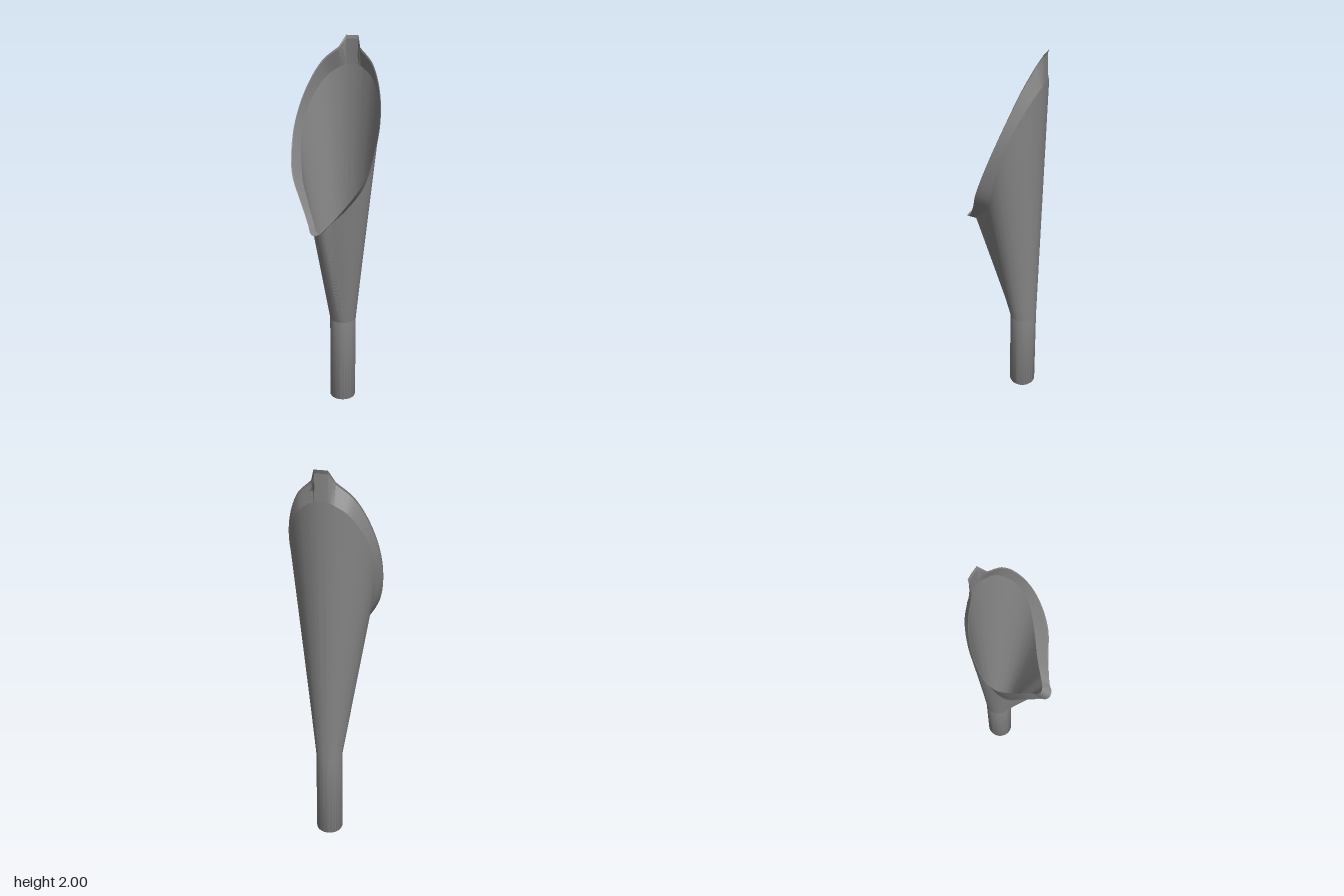
import * as THREE from 'three';
import { toCreasedNormals } from 'three/addons/utils/BufferGeometryUtils.js';

const V = (x, y, z) => new THREE.Vector3(x, y, z);
const flip = (p) => V(-p.x, p.y, p.z);
const STEPS = 8; // samples between control points

// Half outlines from front centre, round the left side, to back centre.
// The last three points of each outline form the pouring tab and stay straight.
const angles = [0, 9, 18, 38, 62, 90, 115, 140, 162, 170, 180];
const crease = [
  V(0, 1.05, 0.152), V(0.02, 1.06, 0.147), V(0.045, 1.095, 0.125), V(0.11, 1.17, 0.063),
  V(0.18, 1.29, 0.003), V(0.217, 1.53, -0.064), V(0.193, 1.68, -0.122), V(0.125, 1.8, -0.177),
  V(0.06, 1.845, -0.2), V(0.03, 1.857, -0.205), V(0, 1.86, -0.206),
];
const rim = [
  V(0, 1.055, 0.205), V(0.025, 1.065, 0.198), V(0.047, 1.088, 0.174), V(0.125, 1.19, 0.118),
  V(0.208, 1.33, 0.064), V(0.241, 1.53, -0.015), V(0.215, 1.72, -0.089), V(0.145, 1.87, -0.144),
  V(0.06, 1.945, -0.172), V(0.035, 2, -0.203), V(0, 2, -0.205),
];

// Mirror a half outline into a closed ring
function mirror(half) {
  const other = half.slice(1, -1).reverse().map(flip);
  return [...half, ...other, half[0].clone()];
}

function outlineRing(points) {
  const last = points.length - 1;
  // Starting one mirrored point early rounds the front of the spout
  const smooth = new THREE.CatmullRomCurve3([flip(points[1]), ...points.slice(0, last - 1)]);
  const half = [];
  for (let i = 0; i <= last * STEPS; i++) {
    const u = i / STEPS, k = Math.min(Math.floor(u), last - 1);
    half.push(u <= last - 2 ? smooth.getPoint((u + 1) / (last - 1))
      : points[k].clone().lerp(points[k + 1], u - k));
  }
  return mirror(half);
}

// Tube cross-section, sampled to match the outlines
function circleRing(y, r) {
  const last = angles.length - 1, half = [];
  for (let i = 0; i <= last * STEPS; i++) {
    const u = i / STEPS, k = Math.min(Math.floor(u), last - 1);
    const a = THREE.MathUtils.degToRad(THREE.MathUtils.lerp(angles[k], angles[k + 1], u - k));
    half.push(V(r * Math.sin(a), y, -0.115 + r * Math.cos(a)));
  }
  return mirror(half);
}

// Skin a surface between successive rings
function loft(name, rings, material) {
  const n = rings[0].length, index = [];
  for (let j = 0; j < rings.length - 1; j++) {
    for (let i = 0; i < n - 1; i++) {
      const a = j * n + i, b = a + 1, c = a + n, d = c + 1;
      index.push(a, b, c, b, d, c);
    }
  }
  const geometry = new THREE.BufferGeometry().setFromPoints(rings.flat());
  geometry.setIndex(index);
  const mesh = new THREE.Mesh(toCreasedNormals(geometry, 0.5), material);
  mesh.name = name;
  return mesh;
}

export function createModel() {
  const group = new THREE.Group();
  group.name = 'funnel';
  // Dark grey plastic, thin open walls
  const material = new THREE.MeshStandardMaterial({ color: 0x868686, side: THREE.DoubleSide });

  const tubeTop = circleRing(0.48, 0.071);
  const creaseRing = outlineRing(crease);
  const rimRing = outlineRing(rim);
  // Inner edge of the lip, just inside and in front of the rim
  const lipRing = rimRing.map((p, i) =>
    creaseRing[i].clone().lerp(p, 0.86).add(V(0, 0.002, 0.005)));

  group.add(
    loft('outletTube', [circleRing(0, 0.068), circleRing(0.006, 0.071), tubeTop], material),
    loft('funnelBody', [tubeTop, creaseRing], material),
    loft('flaredCollar', [creaseRing, lipRing], material),
    loft('rimLip', [lipRing, rimRing], material),
  );
  return group;
}
